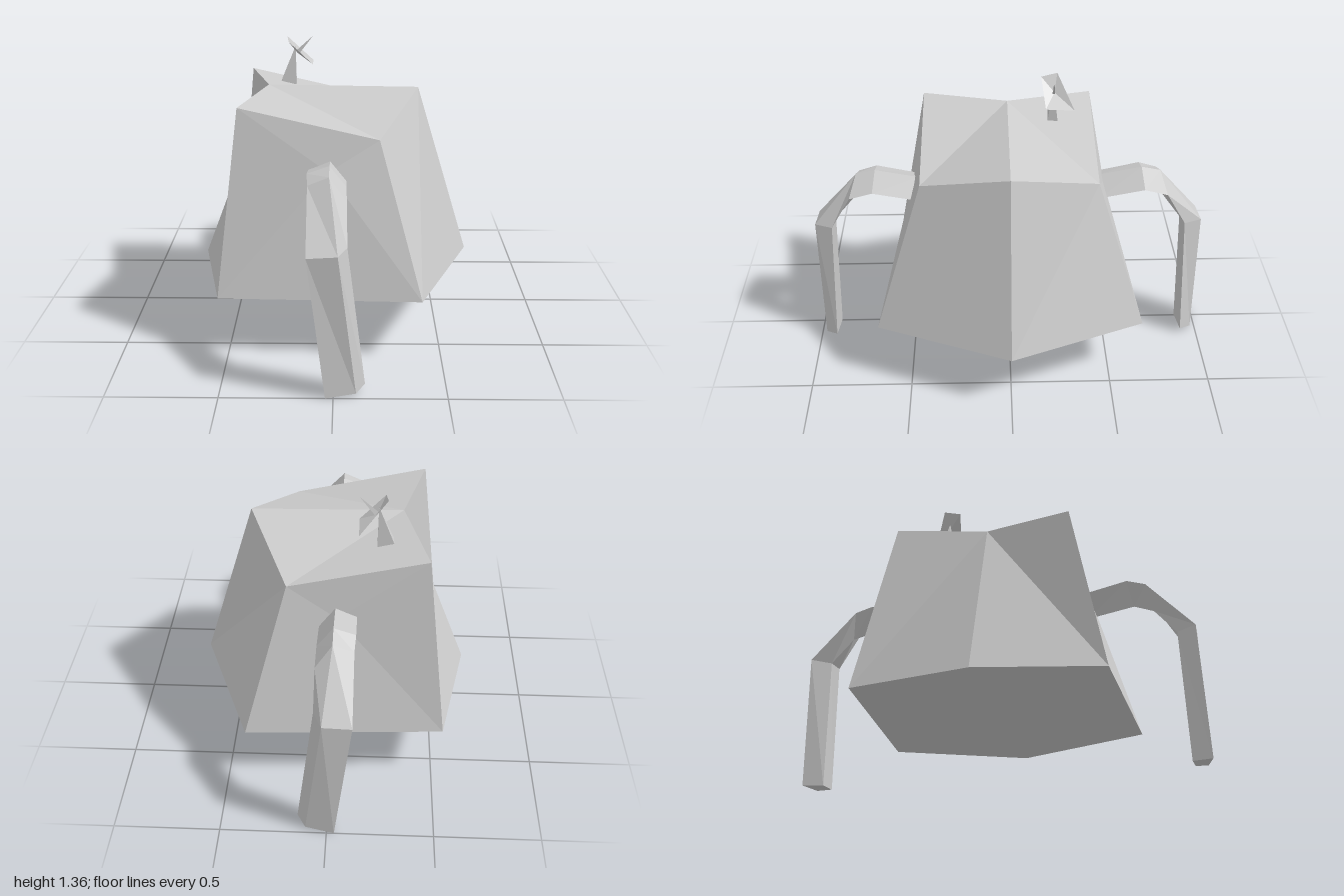
import * as THREE from 'three';

const material = new THREE.MeshStandardMaterial({ color: 0xcccccc, flatShading: true });
const thinMaterial = new THREE.MeshStandardMaterial({ color: 0xcccccc, flatShading: true, side: THREE.DoubleSide });

// Flat-shaded mesh from polygons of corner points, each split as a fan
function facetMesh(name, polygons, mat = material) {
  const pos = [];
  for (const p of polygons) {
    for (let i = 1; i < p.length - 1; i++) pos.push(...p[0], ...p[i], ...p[i + 1]);
  }
  const g = new THREE.BufferGeometry();
  g.setAttribute('position', new THREE.Float32BufferAttribute(pos, 3));
  g.computeVertexNormals();
  const m = new THREE.Mesh(g, mat);
  m.name = name;
  return m;
}

// Mirror a polygon front to back, keeping it facing outward
const mirrorZ = (poly) => poly.map(([x, y, z]) => [x, y, -z]).reverse();
const bothSides = (polys) => [...polys, ...polys.map(mirrorZ)];

// Faceted hull: six-sided, tapered, with a sloping roof
function makeHull() {
  const roofRight = [0.405, 1.15, 0], roofLeft = [-0.33, 1.16, 0];
  const roofFrontRight = [0.207, 1.0, 0.427], roofFrontLeft = [-0.445, 1.15, 0.427];
  const baseRight = [0.665, 0.3, 0], baseLeft = [-0.667, 0.275, 0];
  const baseFrontRight = [0.405, 0.297, 0.657], baseFrontLeft = [-0.543, 0.28, 0.592];
  const hip = [-0.03, 0.86, 0.475];

  const half = [
    // roof
    [roofLeft, roofFrontLeft, roofFrontRight],
    [roofLeft, roofFrontRight, roofRight],
    // right flank
    [roofRight, roofFrontRight, baseFrontRight, baseRight],
    // folded left flank
    [roofLeft, baseFrontLeft, roofFrontLeft],
    [roofLeft, baseLeft, baseFrontLeft],
    // underside
    [baseLeft, baseRight, baseFrontRight, baseFrontLeft],
  ];
  // front wall, fanned around the hip of the leg
  const wall = [roofFrontLeft, baseFrontLeft, baseFrontRight, roofFrontRight];
  wall.forEach((p, i) => half.push([hip, p, wall[(i + 1) % 4]]));
  return facetMesh('hull', bothSides(half));
}

// Bent four-sided leg: rings of left, outer, right and inner corners
function makeLegPolygons() {
  const rings = [
    [[-0.12, 0.865, 0.44], [-0.02, 0.907, 0.45], [0.055, 0.815, 0.45], [-0.04, 0.768, 0.45]],
    [[-0.12, 0.915, 0.66], [-0.02, 0.95, 0.66], [0.055, 0.86, 0.675], [-0.04, 0.81, 0.685]],
    [[-0.115, 0.89, 0.75], [-0.02, 0.93, 0.755], [0.057, 0.83, 0.79], [-0.04, 0.775, 0.78]],
    [[-0.115, 0.645, 0.975], [0.02, 0.655, 0.98], [0.06, 0.66, 0.89], [-0.06, 0.64, 0.885]],
    [[-0.035, 0, 1.0], [0.1, 0.01, 0.975], [0.14, 0.025, 0.915], [0.0, 0.005, 0.905]],
  ];
  const polys = [];
  for (let r = 0; r < rings.length - 1; r++) {
    for (let i = 0; i < 4; i++) {
      const j = (i + 1) % 4;
      polys.push([rings[r][i], rings[r + 1][i], rings[r + 1][j], rings[r][j]]);
    }
  }
  polys.push([...rings[0]]);
  polys.push([...rings[rings.length - 1]].reverse());
  return polys;
}

// Small tilted dish with a pyramid stand and a feed spike
function makeAntenna() {
  const group = new THREE.Group();
  group.name = 'antenna';

  const apex = [-0.208, 1.31, -0.225];
  const base = [[-0.29, 1.11, -0.2], [-0.205, 1.11, -0.2], [-0.205, 1.11, -0.25], [-0.29, 1.11, -0.25]];
  group.add(facetMesh('dishStand', base.map((p, i) => [p, base[(i + 1) % 4], apex])));

  const centre = [-0.2, 1.273, -0.23];
  const rim = [[-0.25, 1.355, -0.245], [-0.24, 1.34, -0.165], [-0.12, 1.222, -0.185], [-0.12, 1.215, -0.325]];
  group.add(facetMesh('dish', rim.map((p, i) => [centre, p, rim[(i + 1) % 4]]), thinMaterial));

  const tip = [-0.118, 1.362, -0.225];
  const root = [[-0.205, 1.285, -0.225], [-0.19, 1.27, -0.218], [-0.19, 1.27, -0.232]];
  group.add(facetMesh('feedSpike', root.map((p, i) => [p, root[(i + 1) % 3], tip]), thinMaterial));
  return group;
}

export function createModel() {
  const model = new THREE.Group();
  model.name = 'walker';
  const leg = makeLegPolygons();
  model.add(
    makeHull(),
    facetMesh('frontLeg', leg),
    facetMesh('backLeg', leg.map(mirrorZ)),
    makeAntenna(),
  );
  return model;
}
